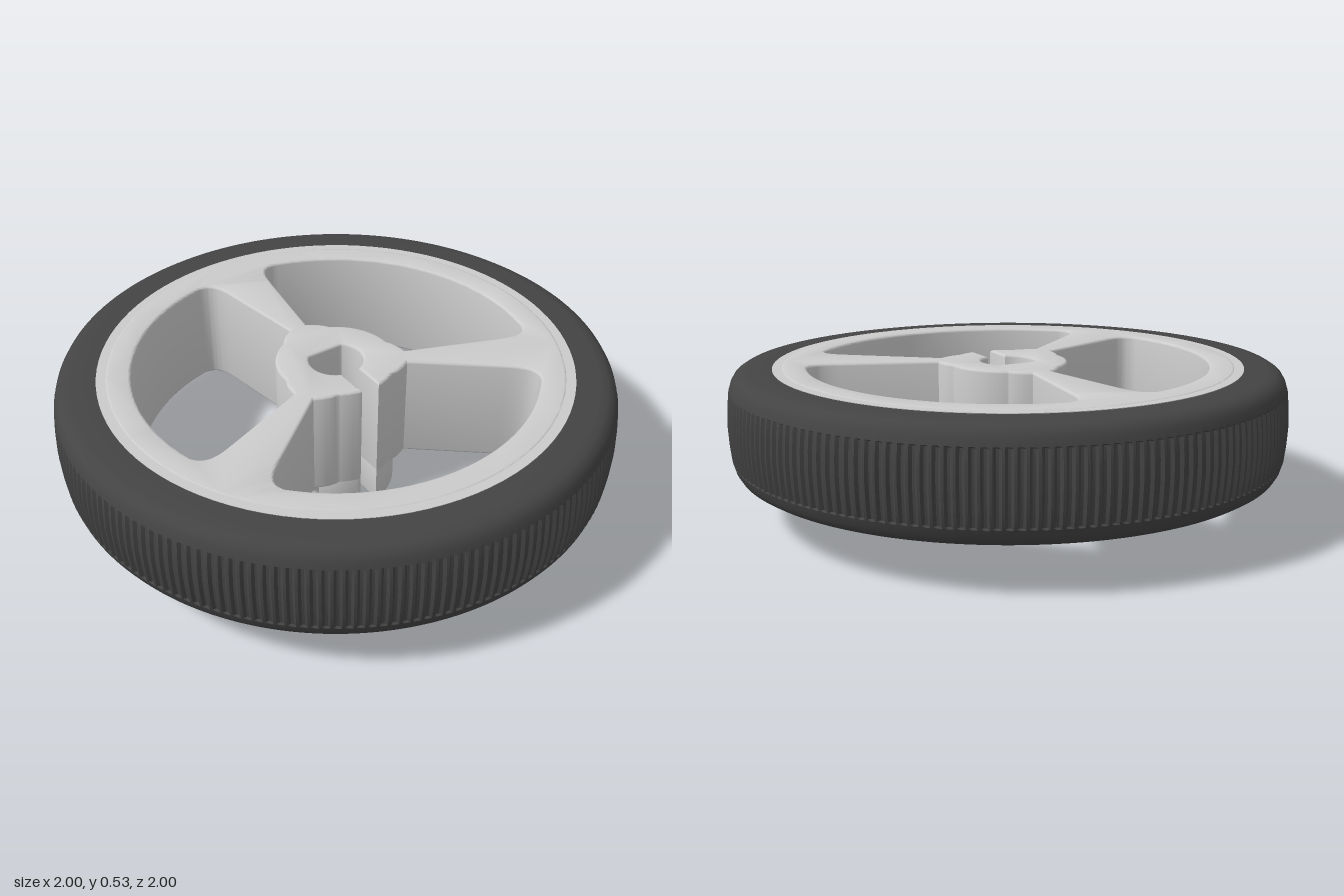
import * as THREE from 'three';
import { toCreasedNormals } from 'three/addons/utils/BufferGeometryUtils.js';

const RAD = Math.PI / 180;
const grey = new THREE.MeshStandardMaterial({ color: 0xcccccc });
const rubber = new THREE.MeshStandardMaterial({ color: 0x444444 });

const HUB_R = 0.215, WINDOW_R = 0.72, SLOT = 0.035, BORE_R = 0.097;

function addMesh(group, name, geometry, material) {
  const mesh = new THREE.Mesh(toCreasedNormals(geometry, 0.6), material);
  mesh.name = name;
  group.add(mesh);
  return mesh;
}

// Extrudes a plan shape upwards from y0 to y1 with softened edges
function slab(shape, y0, y1, bevel) {
  const geo = new THREE.ExtrudeGeometry(shape, {
    depth: y1 - y0 - 2 * bevel, curveSegments: 96, bevelEnabled: true,
    bevelThickness: bevel, bevelSize: bevel, bevelOffset: -bevel, bevelSegments: 3,
  });
  geo.rotateX(-Math.PI / 2);
  geo.translate(0, y0 + bevel, 0);
  return geo;
}

// Half a window, with x along the spoke and y away from it
function halfWindow() {
  const p = new THREE.Path();
  p.absarc(0, 0, HUB_R, 60 * RAD, Math.atan2(0.1, 0.19), true);
  p.quadraticCurveTo(0.225, 0.082, 0.25, 0.036);
  p.lineTo(0.58, 0.088);
  p.bezierCurveTo(0.67, 0.1, 0.7, 0.12, 0.7, 0.17);
  p.absarc(0, 0, WINDOW_R, Math.atan2(0.17, 0.7), 60 * RAD, false);
  const pts = p.getPoints(18);
  return pts.filter((q, i) => i === 0 || q.distanceTo(pts[i - 1]) > 0.002);
}

// Whole window centred on the given angle
function windowPoints(centre) {
  const half = halfWindow();
  const place = (side) => half.map((q) =>
    new THREE.Vector2(q.x, -side * q.y).rotateAround(new THREE.Vector2(), (centre + side * 60) * RAD));
  return [...place(1), ...place(-1).reverse().slice(1, -1)];
}

// Keyed bore with a flat, open to the front through the slot
function borePoints() {
  const pts = [new THREE.Vector2(-SLOT, -0.211)];
  const start = 180 + Math.acos(SLOT / BORE_R) / RAD;
  const sweep = 2 * start - 180;
  for (let i = 0; i <= 48; i++) {
    const a = (start - (sweep * i) / 48) * RAD;
    pts.push(new THREE.Vector2(BORE_R * Math.cos(a), Math.min(BORE_R * Math.sin(a), 0.068)));
  }
  pts.push(new THREE.Vector2(SLOT, -0.211));
  return pts;
}

function wheelBody() {
  const shape = new THREE.Shape();
  shape.absarc(0, 0, 0.81, 0, Math.PI * 2, false);
  for (const centre of [30, 150, -90]) {
    let pts = windowPoints(centre);
    if (centre === -90) {
      pts = pts.filter((q) => !(Math.abs(q.x) < SLOT + 0.004 && q.length() < 0.3));
      pts.push(...borePoints());
    }
    shape.holes.push(new THREE.Path(pts));
  }
  return slab(shape, 0.13, 0.53, 0.01);
}

// Lower hub boss with the same bore and slot
function hubBoss() {
  const pts = [];
  const gap = Math.asin(SLOT / HUB_R) / RAD + 1;
  for (let i = 0; i <= 72; i++) {
    const a = (-90 + gap + ((360 - 2 * gap) * i) / 72) * RAD;
    pts.push(new THREE.Vector2(HUB_R * Math.cos(a), HUB_R * Math.sin(a)));
  }
  pts.push(...borePoints());
  return slab(new THREE.Shape(pts), 0, 0.16, 0.014);
}

// Curved gusset joining a spoke to the boss
function gusset() {
  const s = new THREE.Shape();
  s.moveTo(0.2, 0.07);
  s.lineTo(0.212, 0.07);
  s.quadraticCurveTo(0.22, 0.128, 0.29, 0.132);
  s.lineTo(0.29, 0.15);
  s.lineTo(0.2, 0.15);
  const geo = new THREE.ExtrudeGeometry(s, { depth: 0.07, bevelEnabled: false, curveSegments: 10 });
  geo.translate(0, 0, -0.035);
  return geo;
}

// Tyre section swept round, with fine grooves across the tread
function tyre() {
  const profile = [
    [0.8, 0.157], [0.92, 0.157], [0.95, 0.163], [0.97, 0.176], [0.982, 0.196], [0.989, 0.22],
    [0.991, 0.225], [0.997, 0.28], [1, 0.342], [0.997, 0.405], [0.991, 0.46],
    [0.989, 0.465], [0.982, 0.488], [0.97, 0.508], [0.95, 0.521], [0.92, 0.526], [0.8, 0.526],
  ].map(([r, y]) => new THREE.Vector2(r, y));
  const ribs = 180, steps = 4;
  const geo = new THREE.LatheGeometry(profile, ribs * steps);
  const pos = geo.attributes.position;
  for (let i = 0; i < pos.count; i++) {
    const column = Math.floor(i / profile.length);
    const y = pos.getY(i);
    if (column % steps < 2 && y > 0.222 && y < 0.463) {
      pos.setX(i, pos.getX(i) * 0.991);
      pos.setZ(i, pos.getZ(i) * 0.991);
    }
  }
  return geo;
}

export function createModel() {
  const wheel = new THREE.Group();
  wheel.name = 'wheel';

  addMesh(wheel, 'rimAndSpokes', wheelBody(), grey);
  addMesh(wheel, 'hubBoss', hubBoss(), grey);

  // Narrow flange the tyre sits against
  const flange = [[0.79, 0.15], [0.84, 0.15], [0.84, 0.528], [0.79, 0.528]];
  addMesh(wheel, 'tyreSeat',
    new THREE.LatheGeometry(flange.map(([r, y]) => new THREE.Vector2(r, y)), 96), grey);

  for (const angle of [90, 210, 330]) {
    addMesh(wheel, 'spokeGusset', gusset(), grey).rotation.y = angle * RAD;
  }

  addMesh(wheel, 'tyre', tyre(), rubber);
  return wheel;
}
